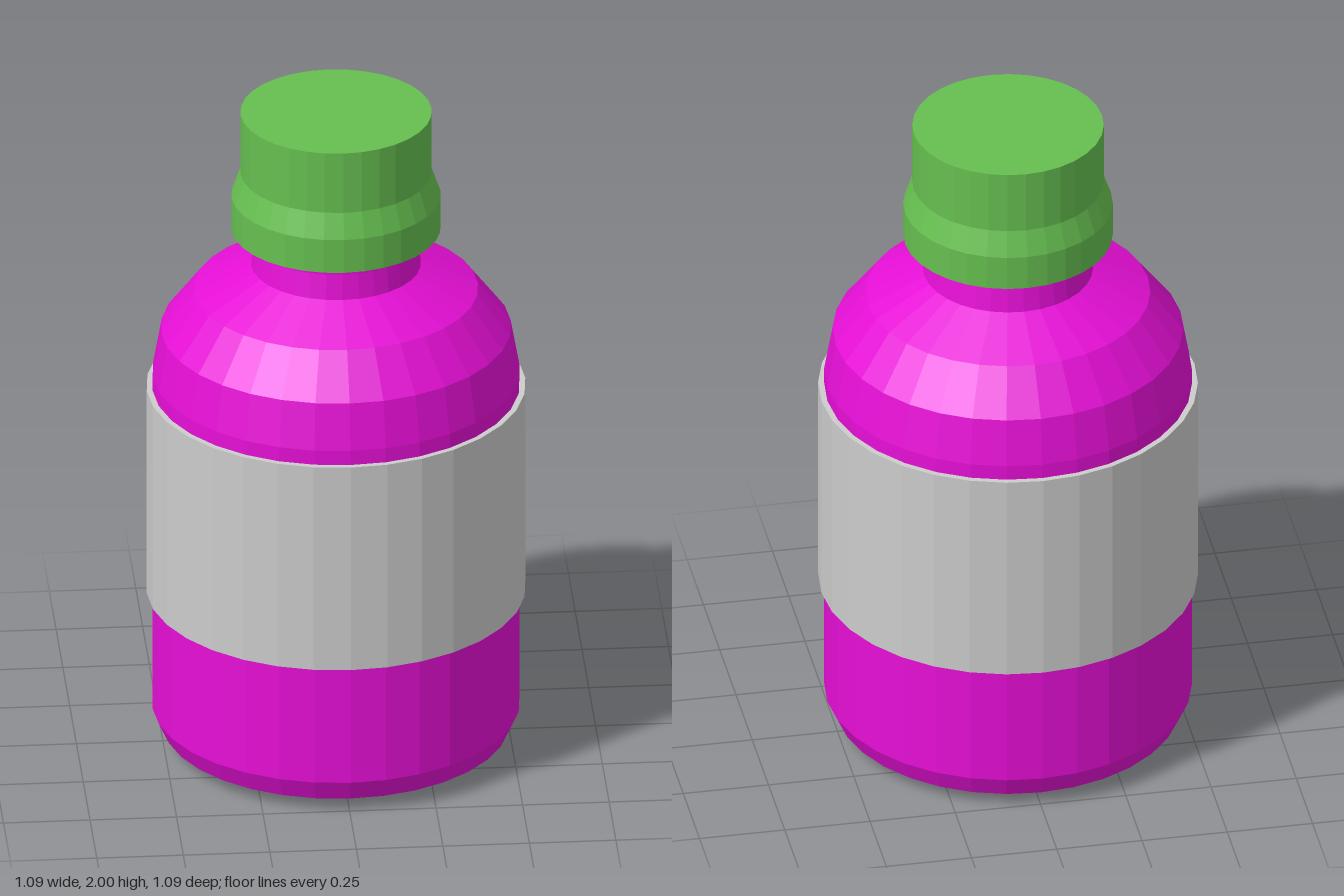
import * as THREE from 'three';

const SIDES = 32;

// Faceted solid of revolution from [radius, height] pairs, listed bottom to top on the outside
function turned(name, color, profile) {
  const points = profile.map(([r, y]) => new THREE.Vector2(r, y));
  const material = new THREE.MeshStandardMaterial({ color, flatShading: true });
  const mesh = new THREE.Mesh(new THREE.LatheGeometry(points, SIDES), material);
  mesh.name = name;
  return mesh;
}

export function createModel() {
  const bottle = new THREE.Group();
  bottle.name = 'bottle';

  // Body with bevelled foot, rounded shoulder and neck
  bottle.add(turned('body', 0xe60fd6, [
    [0, 0], [0.4, 0], [0.5, 0.04], [0.53, 0.105], [0.53, 1.17],
    [0.505, 1.31], [0.41, 1.435], [0.245, 1.515], [0.235, 1.59],
    [0.235, 1.9], [0, 1.9],
  ]));

  // Label sleeve: a closed ring slightly proud of the body
  bottle.add(turned('label', 0xcccccc, [
    [0.525, 0.475], [0.547, 0.475], [0.547, 1.125], [0.525, 1.125], [0.525, 0.475],
  ]));

  // Hollow cap with a flared skirt; the profile runs from inside the crown to its top
  bottle.add(turned('cap', 0x66bf50, [
    [0, 1.94], [0.255, 1.94], [0.255, 1.81], [0.28, 1.73], [0.28, 1.63],
    [0.302, 1.63], [0.302, 1.735], [0.276, 1.81], [0.276, 2], [0, 2],
  ]));

  return bottle;
}
